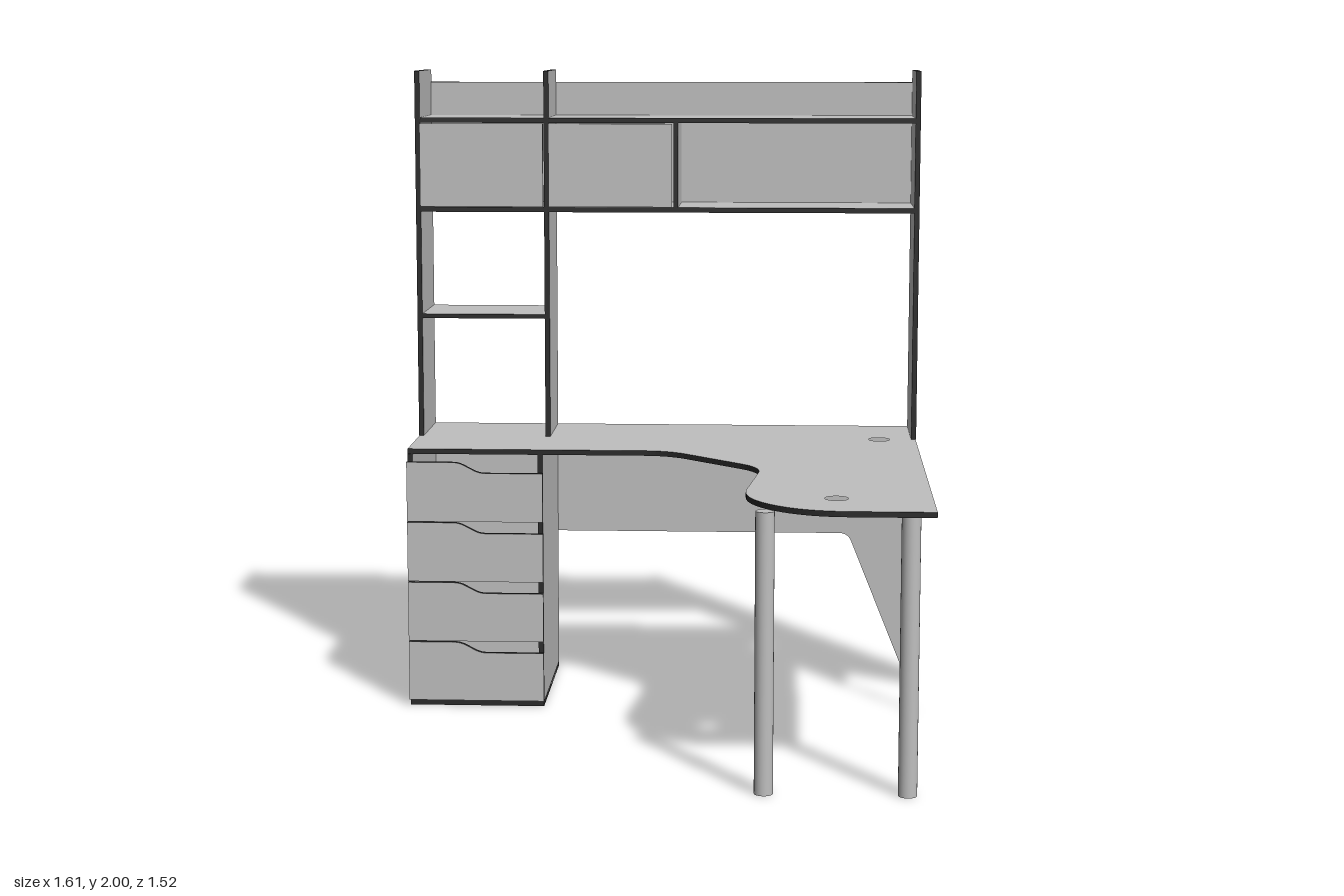
import * as THREE from 'three';

const board = new THREE.MeshStandardMaterial({ color: 0xbfbfbf });
board.name = 'grey board';
const edging = new THREE.MeshStandardMaterial({ color: 0x2a2a2a });
edging.name = 'dark edging';

// closed outline from [u, v, cornerRadius] points
function outline(points) {
  const s = new THREE.Shape();
  const n = points.length;
  points.forEach(([u, v, r = 0], i) => {
    const p = new THREE.Vector2(u, v);
    const toward = (q) => {
      const d = new THREE.Vector2(q[0], q[1]).sub(p);
      return d.setLength(Math.min(r, d.length() / 2)).add(p);
    };
    const a = r ? toward(points[(i + n - 1) % n]) : p;
    if (i === 0) s.moveTo(a.x, a.y); else s.lineTo(a.x, a.y);
    if (r) {
      const b = toward(points[(i + 1) % n]);
      s.quadraticCurveTo(p.x, p.y, b.x, b.y);
    }
  });
  s.closePath();
  return s;
}

// board with dark edges; normal to x: points are (z, y), y: (x, z), z: (x, y)
function panel(parent, name, axis, from, to, points, holes = []) {
  const map = {
    x: ([z, y, r]) => [-z, y, r],
    y: ([x, z, r]) => [x, -z, r],
    z: (p) => p,
  }[axis];
  const shape = outline(points.map(map));
  for (const h of holes) {
    const [u, v, r] = map(h);
    const path = new THREE.Path();
    path.absarc(u, v, r, 0, Math.PI * 2, true);
    shape.holes.push(path);
  }
  const g = new THREE.ExtrudeGeometry(shape, { depth: to - from, bevelEnabled: false, curveSegments: 12 });
  g.translate(0, 0, from);
  if (axis === 'x') g.rotateY(Math.PI / 2);
  if (axis === 'y') g.rotateX(-Math.PI / 2);
  const mesh = new THREE.Mesh(g, [board, edging]);
  mesh.name = name;
  parent.add(mesh);
}

const rect = (u0, u1, v0, v1) => [[u0, v0], [u1, v0], [u1, v1], [u0, v1]];

export function createModel() {
  const desk = new THREE.Group();
  desk.name = 'cornerDesk';

  // worktop with a swept inner edge and two cable holes
  panel(desk, 'worktop', 'y', 0.81, 0.826, [
    [-0.802, -0.76], [0.802, -0.76], [0.802, 0.76],
    [0.43, 0.76, 0.13], [0.26, 0.57, 0.14], [0.315, 0.07, 0.09], [0.02, -0.22, 0.08], [-0.802, -0.22],
  ], [[0.53, 0.565, 0.034], [0.685, -0.478, 0.034]]);

  // round legs
  for (const x of [0.33, 0.735]) {
    const leg = new THREE.Mesh(new THREE.CylinderGeometry(0.027, 0.027, 0.81, 24), board);
    leg.name = 'roundLeg';
    leg.position.set(x, 0.405, 0.68);
    desk.add(leg);
  }

  // lower back and right end, both cut out above the floor
  panel(desk, 'lowerBack', 'z', -0.76, -0.745, [
    [-0.8, 0.004], [-0.38, 0.004], [-0.38, 0.465], [0.595, 0.465, 0.03], [0.78, 0.004], [0.8, 0.004], [0.8, 0.81], [-0.8, 0.81],
  ]);
  panel(desk, 'rightEnd', 'x', 0.788, 0.804, [
    [-0.745, 0], [-0.57, 0], [-0.375, 0.465, 0.03], [-0.224, 0.465, 0.012],
    [-0.224, 0], [-0.216, 0], [-0.216, 0.81], [-0.745, 0.81],
  ]);

  // drawer cabinet
  const cabinet = new THREE.Group();
  cabinet.name = 'drawerCabinet';
  desk.add(cabinet);
  for (const x of [-0.802, -0.392]) {
    panel(cabinet, 'cabinetSide', 'x', x, x + 0.016, rect(-0.745, -0.216, 0.004, 0.81));
  }
  panel(cabinet, 'cabinetBottom', 'y', 0, 0.018, rect(-0.802, -0.376, -0.745, -0.216));
  for (let i = 0; i < 4; i++) {
    const y0 = 0.02 + i * 0.1925, y1 = y0 + 0.189;
    panel(cabinet, 'drawerFront', 'z', -0.215, -0.2, [
      [-0.804, y0], [-0.375, y0], [-0.375, y1 - 0.034], [-0.575, y1 - 0.034, 0.02], [-0.64, y1, 0.02], [-0.804, y1],
    ]);
  }

  // hutch above the worktop
  const hutch = new THREE.Group();
  hutch.name = 'hutch';
  desk.add(hutch);
  for (const x of [-0.804, -0.392, 0.788]) {
    panel(hutch, 'hutchUpright', 'x', x, x + 0.016, rect(-0.762, -0.487, 0.826, 2));
  }
  panel(hutch, 'hutchBack', 'z', -0.76, -0.748, rect(-0.79, 0.79, 1.552, 1.96));
  for (const y of [1.552, 1.836]) {
    panel(hutch, 'longShelf', 'y', y, y + 0.016, rect(-0.79, 0.79, -0.757, -0.488));
  }
  panel(hutch, 'smallShelf', 'y', 1.209, 1.223, rect(-0.79, -0.39, -0.76, -0.488));
  panel(hutch, 'shelfDivider', 'x', 0.022, 0.037, rect(-0.75, -0.487, 1.568, 1.836));

  // cupboard doors
  for (const x of [-0.788, -0.376]) {
    panel(hutch, 'cupboardDoor', 'z', -0.486, -0.472, rect(x, x + 0.394, 1.57, 1.834));
  }
  return desk;
}
